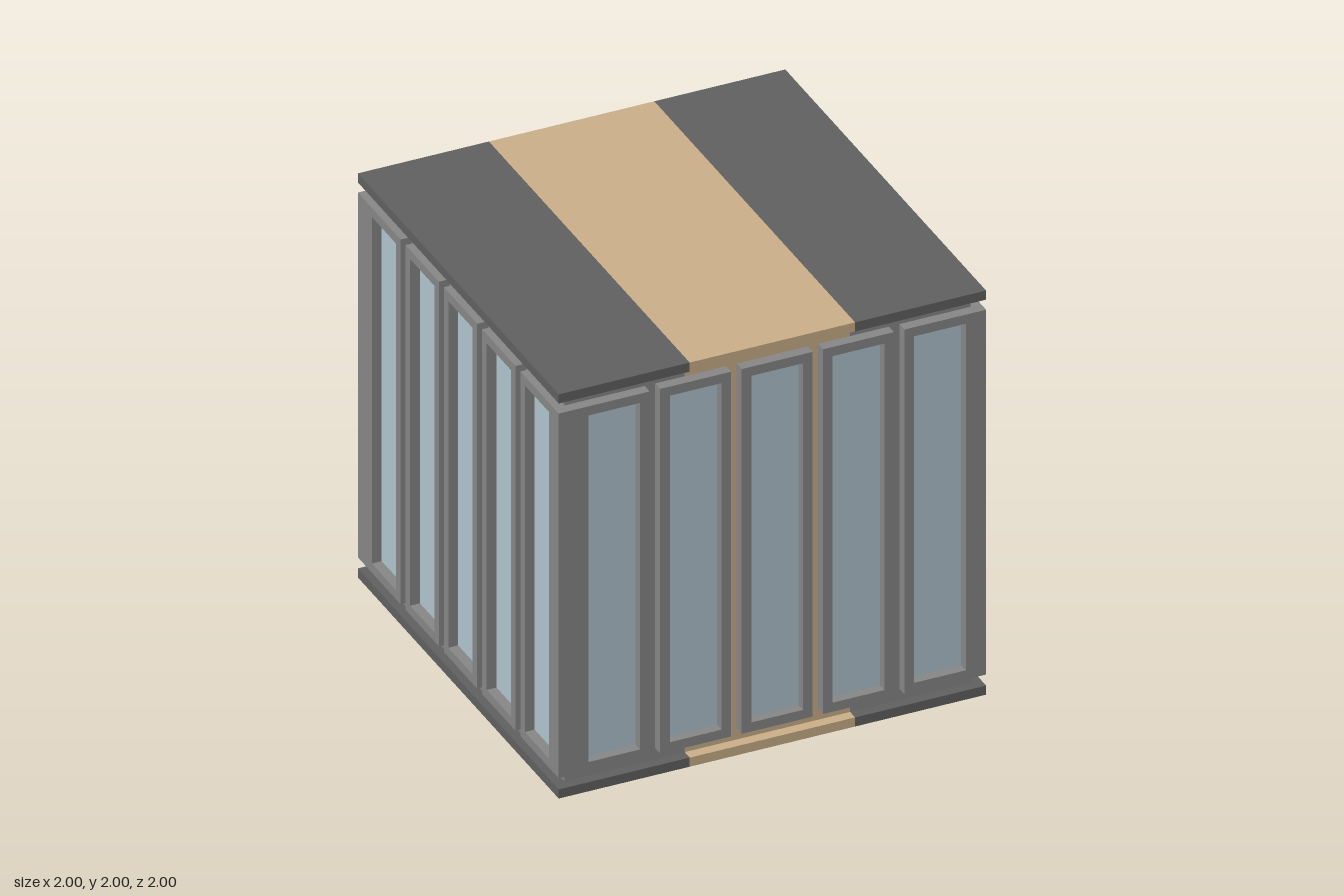
import * as THREE from 'three';

const flat = (name, color) => {
  const m = new THREE.MeshStandardMaterial({ color });
  m.name = name;
  return m;
};

export function createModel() {
  const darkGrey = flat('dark grey', 0x5f5f5f);
  const midGrey = flat('mid grey', 0x858585);
  const tan = flat('tan', 0xc8ad87);
  const glass = flat('pale blue glass', 0xadc1cb);

  const model = new THREE.Group();
  model.name = 'windowedBlock';

  // Box given by its limits on each axis
  const box = (parent, name, mat, x0, x1, y0, y1, z0, z1) => {
    const mesh = new THREE.Mesh(new THREE.BoxGeometry(x1 - x0, y1 - y0, z1 - z0), mat);
    mesh.position.set((x0 + x1) / 2, (y0 + y1) / 2, (z0 + z1) / 2);
    mesh.name = name;
    parent.add(mesh);
  };

  // Three side-by-side boxes: a tan stripe between two outer bands
  const striped = (name, outer, half, y0, y1) => {
    const group = new THREE.Group();
    group.name = name;
    box(group, name + 'RightBand', outer, -half, -0.387, y0, y1, -half, half);
    box(group, name + 'Stripe', tan, -0.387, 0.387, y0, y1, -half, half);
    box(group, name + 'LeftBand', outer, 0.387, half, y0, y1, -half, half);
    model.add(group);
  };

  const slab = 0.045, inset = 0.95;
  striped('floorSlab', darkGrey, 1, 0, slab);
  striped('core', midGrey, inset, slab, 2 - slab);
  striped('roofSlab', darkGrey, 1, 2 - slab, 2);

  // Frame with a rectangular opening
  const rect = (path, x0, x1, y0, y1) =>
    path.moveTo(x0, y0).lineTo(x1, y0).lineTo(x1, y1).lineTo(x0, y1).closePath();
  const frameGeometry = (x0, x1, w0, w1) => {
    const shape = new THREE.Shape();
    rect(shape, x0, x1, 0.1, 1.905);
    const hole = new THREE.Path();
    rect(hole, w0, w1, 0.145, 1.86);
    shape.holes.push(hole);
    return new THREE.ExtrudeGeometry(shape, { depth: 1 - inset, bevelEnabled: false });
  };

  // The same five windows on each of the four walls; the first frame wraps the corner
  for (let side = 0; side < 4; side++) {
    const wall = new THREE.Group();
    wall.name = ['front', 'left', 'back', 'right'][side] + 'Wall';
    wall.rotation.y = side * Math.PI / 2;
    for (let i = 0; i < 5; i++) {
      const c = -0.74 + i * 0.381;
      const x0 = i === 0 ? -1 : c - 0.166;
      const x1 = i === 4 ? inset : c + 0.166;
      const frame = new THREE.Mesh(frameGeometry(x0, x1, c - 0.121, c + 0.121), midGrey);
      frame.position.z = inset;
      frame.name = 'windowFrame';
      wall.add(frame);
      box(wall, 'windowPane', glass, c - 0.121, c + 0.121, 0.145, 1.86, inset, inset + 0.004);
    }
    model.add(wall);
  }

  return model;
}
